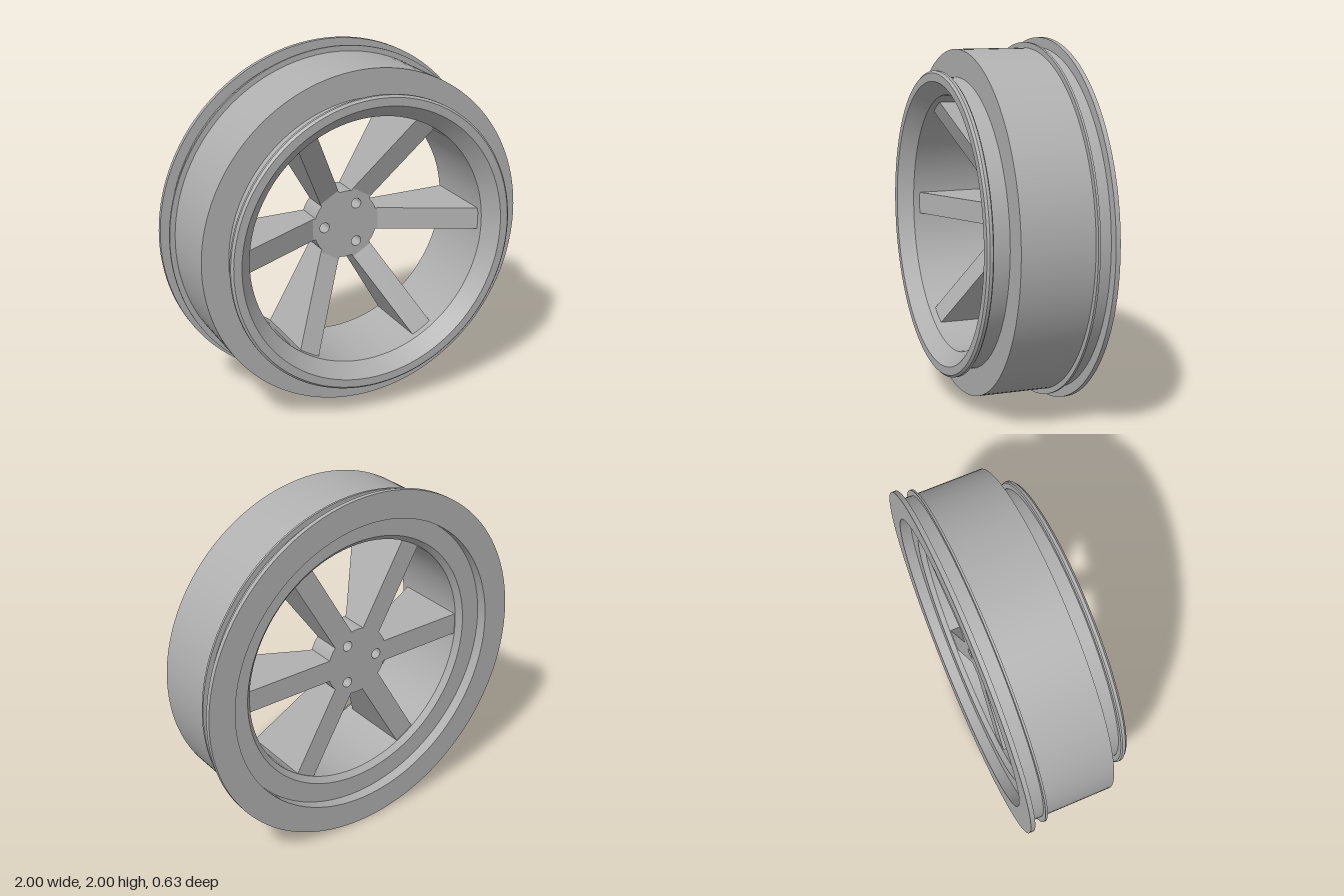
import * as THREE from 'three';
import { toCreasedNormals } from 'three/addons/utils/BufferGeometryUtils.js';

const AXLE_HEIGHT = 1;
const BACK = -0.22;        // rear plane shared by hub and spokes
const HUB_FRONT = -0.06;

const grey = new THREE.MeshStandardMaterial({ color: 0xb0b0b0 });
grey.name = 'grey metal';

function addPart(group, name, geometry) {
  const mesh = new THREE.Mesh(geometry, grey);
  mesh.name = name;
  group.add(mesh);
  return mesh;
}

// Rim cross-section as [radius, z], outside from back to front, then inside back again
function rimGeometry() {
  const profile = [
    [0.845, -0.315], [1.0, -0.315], [1.0, -0.29],          // rear flange
    [0.945, -0.29], [0.945, -0.22],
    [0.975, -0.22], [0.975, -0.208], [0.945, -0.208],      // thin rib
    [0.945, 0.185], [0.795, 0.185],                        // body and step
    [0.795, 0.28], [0.825, 0.28], [0.832, 0.287],
    [0.832, 0.303], [0.82, 0.315],                         // front lip
    [0.775, 0.315], [0.7, 0.235],                          // front inner cone
    [0.7, -0.225], [0.73, -0.253],                         // barrel, rear chamfer
    [0.845, -0.253], [0.845, -0.315],                      // rear recess
  ].map(([r, z]) => new THREE.Vector2(r, z));
  const geometry = new THREE.LatheGeometry(profile, 128);
  geometry.rotateX(Math.PI / 2);
  return toCreasedNormals(geometry, 0.35);
}

// Hub disc with three bolt holes
function hubGeometry() {
  const shape = new THREE.Shape();
  shape.absarc(0, 0, 0.195, 0, Math.PI * 2, false);
  for (let i = 0; i < 3; i++) {
    const a = Math.PI / 3 + (i * Math.PI * 2) / 3;
    const hole = new THREE.Path();
    hole.absarc(0.13 * Math.cos(a), 0.13 * Math.sin(a), 0.029, 0, Math.PI * 2, true);
    shape.holes.push(hole);
  }
  const geometry = new THREE.ExtrudeGeometry(shape, {
    depth: HUB_FRONT - BACK, bevelEnabled: false, curveSegments: 40,
  });
  geometry.translate(0, 0, BACK);
  return toCreasedNormals(geometry, 0.5);
}

// Spoke side outline (radius, z): flat at the back, rising forward to the rim
function spokeGeometry() {
  const width = 0.125;
  const shape = new THREE.Shape([
    [0.17, BACK], [0.703, BACK], [0.703, 0.2], [0.2, HUB_FRONT], [0.17, HUB_FRONT],
  ].map(([r, z]) => new THREE.Vector2(r, z)));
  const geometry = new THREE.ExtrudeGeometry(shape, { depth: width, bevelEnabled: false });
  geometry.translate(0, 0, -width / 2);
  geometry.rotateX(Math.PI / 2);
  return geometry;
}

export function createModel() {
  const wheel = new THREE.Group();
  wheel.name = 'wheel';
  const parts = new THREE.Group();
  parts.name = 'wheelParts';
  parts.position.y = AXLE_HEIGHT;
  wheel.add(parts);

  addPart(parts, 'rim', rimGeometry());
  addPart(parts, 'hub', hubGeometry());

  const spoke = spokeGeometry();
  for (let i = 0; i < 6; i++) {
    addPart(parts, `spoke${i + 1}`, spoke).rotation.z = (i * Math.PI) / 3;
  }
  return wheel;
}
